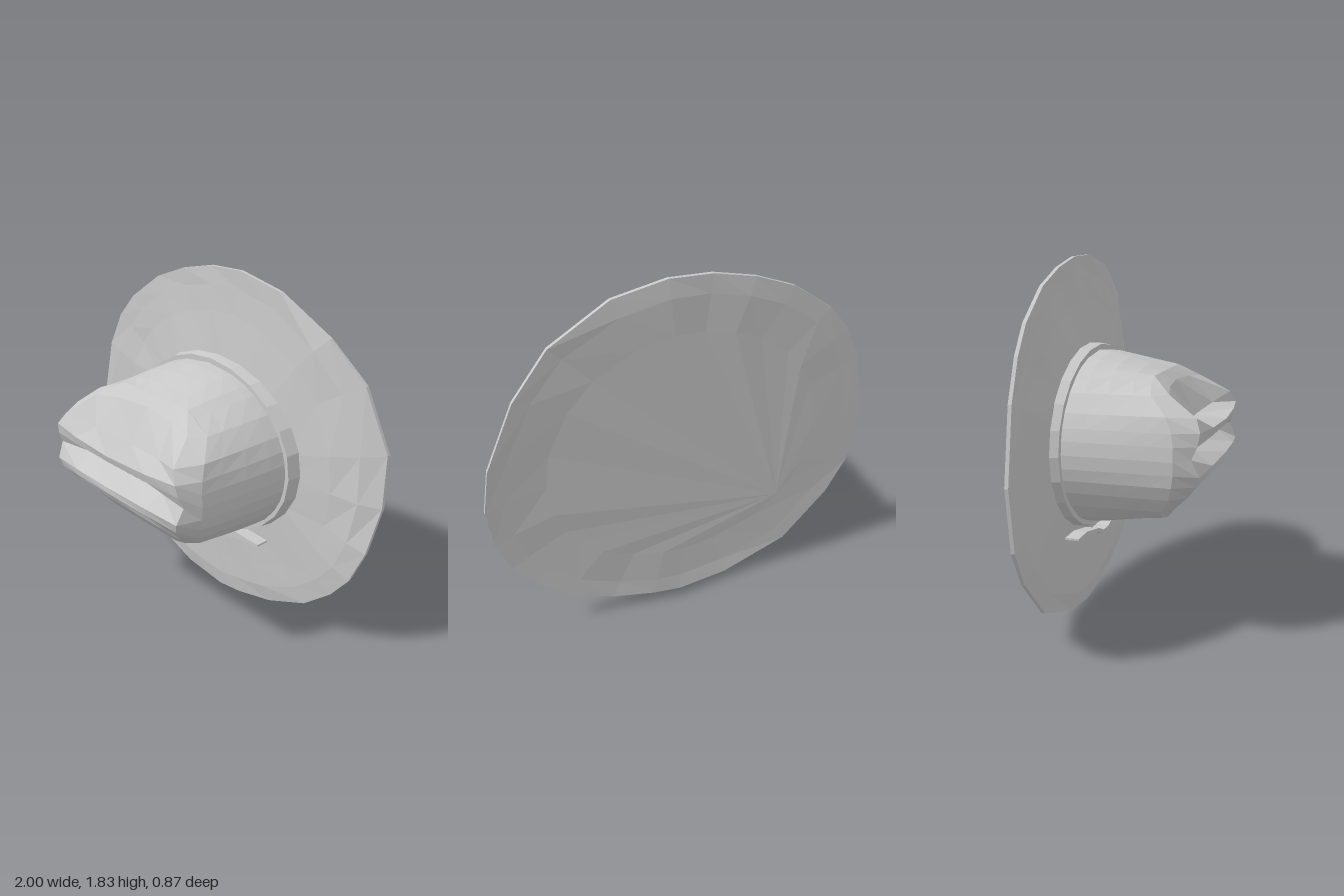
import * as THREE from 'three';

const CY = 0.92; // height of the crown axis

const felt = new THREE.MeshStandardMaterial({ color: 0xc8c8c8, flatShading: true });
felt.name = 'grey felt';

// Faceted mesh from a list of triangle corners
function facetMesh(name, corners) {
  const g = new THREE.BufferGeometry().setFromPoints(corners);
  g.computeVertexNormals();
  const m = new THREE.Mesh(g, felt);
  m.name = name;
  return m;
}

// Skin between closed rings of equal length, counter-clockwise seen from +z
function loft(rings) {
  const out = [];
  for (let k = 0; k < rings.length - 1; k++) {
    const a = rings[k], b = rings[k + 1], n = a.length;
    for (let i = 0; i < n; i++) {
      const j = (i + 1) % n;
      out.push(a[i], b[i], b[j], a[i], b[j], a[j]);
    }
  }
  return out;
}

const V = (x, y, z) => new THREE.Vector3(x, y, z);

// Brim: irregular outline whose upper left edge curls backward
function makeBrim() {
  const outline = [
    [1, 0.88], [0.97, 1.13], [0.83, 1.43], [0.65, 1.62], [0.36, 1.78], [0.1, 1.83],
    [-0.11, 1.82], [-0.32, 1.77], [-0.52, 1.69], [-0.73, 1.54], [-0.84, 1.41], [-0.93, 1.22],
    [-1, 0.88], [-0.95, 0.58], [-0.84, 0.4], [-0.59, 0.16], [-0.24, 0.03], [0.02, 0],
    [0.17, 0.02], [0.4, 0.08], [0.64, 0.19], [0.8, 0.33], [0.9, 0.46], [0.97, 0.64],
  ];
  // bend of the felt: strong curl toward one side, slight lift on the other
  const bend = (x, dy) => {
    const u = Math.max(0, 0.94 * x + 0.34 * dy - 0.72);
    return -1.48 * u * u + 0.07 * Math.max(0, -x - 0.65);
  };
  const ring = (s, z) => outline.map(([x, y], i) => {
    const dy = (y - CY) * s;
    const ripple = s < 1 ? 0.004 * Math.sin(i * 2.4) - 0.009 * dy : 0;
    return V(x * s, CY + dy, z + bend(x * s, dy) + ripple);
  });
  const inner = outline.map(([x, y]) => {
    const a = Math.atan2(y - CY, x);
    return V(0.53 * Math.cos(a), CY + 0.44 * Math.sin(a), -0.275);
  });
  // the closed underside fans out from an off-centre point
  const hub = outline.map(() => V(-0.51, 0.5, -0.348));
  return facetMesh('brim', loft([
    inner, ring(0.76, -0.297), ring(0.9, -0.305), ring(1, -0.315),
    ring(1, -0.333), ring(0.9, -0.334), ring(0.7, -0.335), hub,
  ]));
}

// Crown: pinched top made of rows across x, with a wall flaring to the base
function makeCrown() {
  // y and z in the middle, y and z near the ends, half width, end x, end y, end z
  const rows = [
    [1.27, 0.13, 1.27, 0.13, 0.24, 0.30, 1.245, 0.13],
    [1.225, 0.18, 1.20, 0.23, 0.35, 0.41, 1.20, 0.16],
    [1.055, 0.28, 1.11, 0.375, 0.42, 0.49, 1.12, 0.25],
    [1.04, 0.435, 1.05, 0.40, 0.46, 0.51, 1.05, 0.28],
    [1.005, 0.425, 0.99, 0.39, 0.47, 0.52, 0.99, 0.29],
    [0.93, 0.31, 0.93, 0.365, 0.48, 0.525, 0.925, 0.29],
    [0.87, 0.435, 0.85, 0.40, 0.47, 0.52, 0.86, 0.29],
    [0.84, 0.435, 0.80, 0.385, 0.45, 0.51, 0.80, 0.28],
    [0.76, 0.31, 0.735, 0.335, 0.41, 0.48, 0.735, 0.26],
    [0.66, 0.265, 0.66, 0.26, 0.34, 0.42, 0.66, 0.21],
    [0.585, 0.2, 0.585, 0.2, 0.24, 0.30, 0.595, 0.19],
  ];
  const shift = -0.018;
  const grid = rows.map(([ym, zm, ys, zs, w, xe, ye, ze]) =>
    [-1, -0.85, -0.5, 0, 0.5, 0.85, 1].map((t) => {
      if (Math.abs(t) === 1) return V(t * xe + shift, ye, ze);
      const u = t / 0.85;
      return V(u * w + shift, ym + (ys - ym) * u * u, zm + (zs - zm) * u * u);
    }));
  const top = [];
  const R = grid.length, C = grid[0].length;
  for (let r = 0; r < R - 1; r++) {
    for (let c = 0; c < C - 1; c++) {
      const a = grid[r][c], b = grid[r + 1][c], d = grid[r + 1][c + 1], e = grid[r][c + 1];
      top.push(a, b, d, a, d, e);
    }
  }

  // rim of the top, counter-clockwise
  const rim = [...grid[0]].reverse();
  for (let r = 1; r < R; r++) rim.push(grid[r][0]);
  for (let c = 1; c < C; c++) rim.push(grid[R - 1][c]);
  for (let r = R - 2; r > 0; r--) rim.push(grid[r][C - 1]);

  const wallRing = (s) => rim.map((p) => {
    const a = Math.atan2((p.y - CY) / 0.44, p.x / 0.54);
    const k = Math.sin(s * Math.PI / 2);
    return V(
      THREE.MathUtils.lerp(p.x, 0.55 * Math.cos(a) + 0.005, k),
      THREE.MathUtils.lerp(p.y, CY + 0.445 * Math.sin(a), k),
      THREE.MathUtils.lerp(p.z, -0.29, s));
  });
  const group = new THREE.Group();
  group.name = 'crown';
  group.add(facetMesh('crownTop', top));
  group.add(facetMesh('crownWall', loft([0, 0.2, 0.45, 0.7, 1].map(wallRing))));
  return group;
}

// Hat band around the foot of the crown, slightly tilted
function makeBand() {
  const ring = (rx, ry, z, tilt) => Array.from({ length: 24 }, (_, i) => {
    const a = (i / 24) * Math.PI * 2;
    return V(rx * Math.cos(a), CY + ry * Math.sin(a), z + tilt * Math.cos(a));
  });
  return facetMesh('hatBand', loft([
    ring(0.53, 0.43, -0.222, 0.015), ring(0.575, 0.465, -0.222, 0.015), ring(0.587, 0.475, -0.295, 0),
  ]));
}

// Ribbon tied below the crown, with two thin tails
function makeRibbon() {
  const edge = [
    [-0.42, 0.475], [-0.32, 0.472], [-0.13, 0.43], [-0.04, 0.393], [0.03, 0.393], [0.24, 0.445],
    [0.4, 0.468], [0.4, 0.478], [0.24, 0.483], [0.04, 0.415], [-0.04, 0.415], [-0.12, 0.448],
    [-0.3, 0.485], [-0.42, 0.485],
  ];
  const shape = new THREE.Shape(edge.map(([x, y]) => new THREE.Vector2(x, y)));
  const g = new THREE.ExtrudeGeometry(shape, { depth: 0.07, bevelEnabled: false });
  g.translate(0, 0, -0.272);
  const m = new THREE.Mesh(g, felt);
  m.name = 'ribbon';
  return m;
}

export function createModel() {
  const hat = new THREE.Group();
  hat.name = 'hat';
  hat.add(makeBrim(), makeCrown(), makeBand(), makeRibbon());
  return hat;
}
